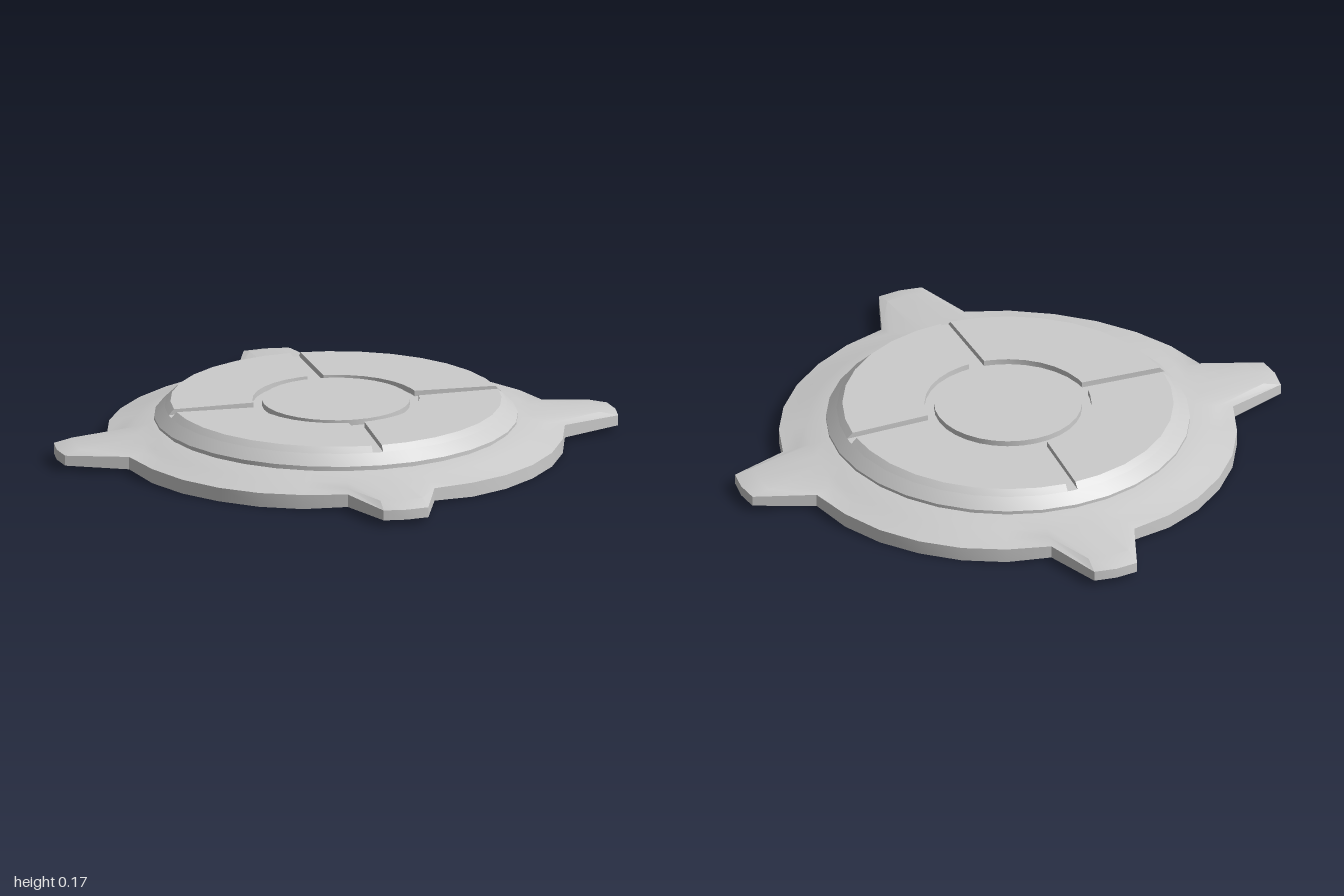
import * as THREE from 'three';
import { toCreasedNormals } from 'three/addons/utils/BufferGeometryUtils.js';

const STEP = Math.PI / 16; // 32-sided circles throughout

// Outline of one quarter of the flange: [angle, radius, top y, bottom y]
const CORNER = Math.atan2(0.08, 0.99);
const QUARTER = [
  [0, 1.0, 0.056, 0.02],
  [CORNER, 0.993, 0.056, 0.02],
  [STEP, 0.795, 0.058, 0.013],
  [2 * STEP, 0.795, 0.054, 0.003],
  [3 * STEP, 0.795, 0.05, 0],
  [4 * STEP, 0.795, 0.049, 0],
  [5 * STEP, 0.795, 0.05, 0],
  [6 * STEP, 0.795, 0.054, 0.003],
  [7 * STEP, 0.795, 0.058, 0.013],
  [Math.PI / 2 - CORNER, 0.993, 0.056, 0.02],
];

// Flange with four tabs, skinned through rings from the inner top edge round to the underside
function flangeGeometry() {
  const outline = [];
  for (let q = 0; q < 4; q++) {
    for (const [a, r, top, bottom] of QUARTER) outline.push([a + q * Math.PI / 2, r, top, bottom]);
  }
  const ringRules = [
    () => [0.61, 0.092],
    () => [0.645, 0.088],
    () => [0.7, 0.075],
    (r, top) => [r * 0.935, r > 0.9 ? 0.072 : (top + 0.075) / 2],
    (r, top) => [r, top],
    (r, top, bottom) => [r, bottom],
    () => [0.62, 0],
    () => [0, 0],
  ];
  const rings = ringRules.map((rule) => outline.map(([a, r, top, bottom]) => {
    const [radius, y] = rule(r, top, bottom);
    return [radius * Math.sin(a), y, radius * Math.cos(a)];
  }));
  const positions = [];
  const n = outline.length;
  for (let i = 0; i < rings.length - 1; i++) {
    for (let j = 0; j < n; j++) {
      const k = (j + 1) % n;
      const a = rings[i][j], b = rings[i + 1][j], c = rings[i + 1][k], d = rings[i][k];
      if (i < rings.length - 2) positions.push(...a, ...b, ...c);
      positions.push(...a, ...c, ...d);
    }
  }
  const geometry = new THREE.BufferGeometry();
  geometry.setAttribute('position', new THREE.Float32BufferAttribute(positions, 3));
  return toCreasedNormals(geometry, 0.5);
}

// Quarter of the raised top, with straight slot edges and a bevelled outer wall
function sectorGeometry() {
  const inner = 0.29, outer = 0.575, flare = 0.595 / outer, depth = 0.02;
  const a0 = Math.asin(0.028 / inner), a1 = Math.asin(0.018 / outer);
  const at = (r, a) => new THREE.Vector2(r * Math.cos(a), r * Math.sin(a));
  const points = [at(outer, a1)];
  for (let i = 1; i < 8; i++) points.push(at(outer, i * STEP));
  points.push(at(outer, Math.PI / 2 - a1), at(inner, Math.PI / 2 - a0));
  for (let i = 7; i > 0; i--) points.push(at(inner, i * STEP));
  points.push(at(inner, a0));
  const geometry = new THREE.ExtrudeGeometry(new THREE.Shape(points), { depth, bevelEnabled: false });
  const p = geometry.attributes.position;
  for (let i = 0; i < p.count; i++) {
    const atFoot = p.getZ(i) < depth / 2;
    if (atFoot && Math.hypot(p.getX(i), p.getY(i)) > 0.5) {
      p.setXY(i, p.getX(i) * flare, p.getY(i) * flare);
    }
  }
  geometry.rotateX(-Math.PI / 2);
  return toCreasedNormals(geometry, 0.5);
}

export function createModel() {
  const model = new THREE.Group();
  const material = new THREE.MeshStandardMaterial({ color: 0xcccccc });
  const add = (name, geometry, y = 0) => {
    const mesh = new THREE.Mesh(geometry, material);
    mesh.name = name;
    mesh.position.y = y;
    model.add(mesh);
    return mesh;
  };

  add('tabbedFlange', flangeGeometry());

  // Raised body with a small lip; its flat top is the floor of the grooves
  const profile = [[0.622, 0.08], [0.622, 0.098], [0.632, 0.1], [0.632, 0.109], [0.595, 0.145], [0, 0.145]];
  const body = new THREE.LatheGeometry(profile.map(([r, y]) => new THREE.Vector2(r, y)), 32);
  add('raisedBody', toCreasedNormals(body, 0.5));

  // Four sectors separated by the cross-shaped slots
  const sector = sectorGeometry();
  for (let i = 0; i < 4; i++) add('topSector', sector, 0.145).rotation.y = i * Math.PI / 2;

  // Central disc inside the ring groove
  add('centreDisc', new THREE.CylinderGeometry(0.257, 0.257, 0.02, 32), 0.155);

  return model;
}
